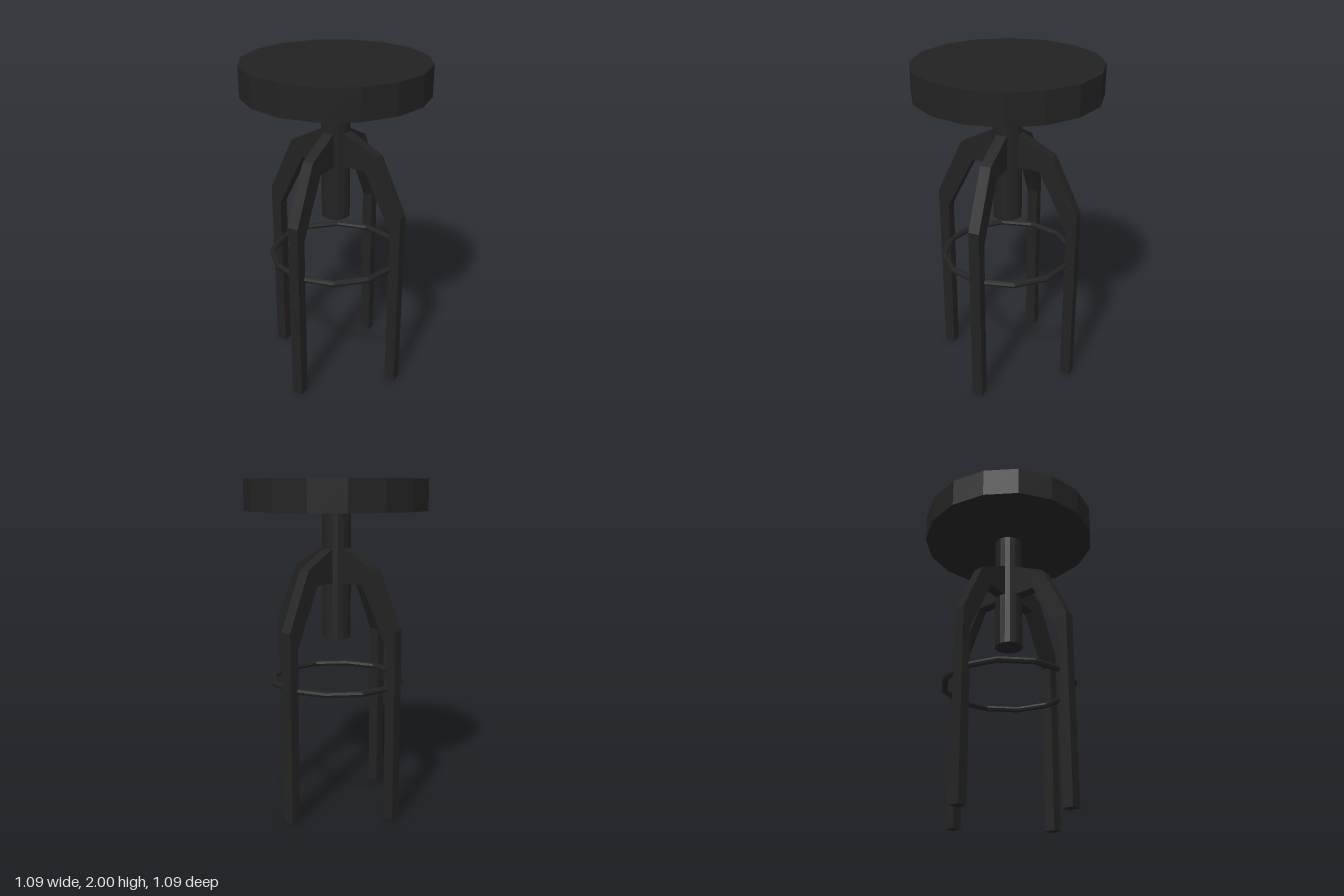
import * as THREE from 'three';

export function createModel() {
  const model = new THREE.Group();
  const black = new THREE.MeshStandardMaterial({ color: 0x222222, flatShading: true });
  black.name = 'matteBlack';

  const add = (name, geometry, y = 0) => {
    const mesh = new THREE.Mesh(geometry, black);
    mesh.name = name;
    mesh.position.y = y;
    model.add(mesh);
    return mesh;
  };

  // Sixteen-sided seat and the post beneath it
  add('seat', new THREE.CylinderGeometry(0.545, 0.545, 0.18, 16), 1.91);
  add('post', new THREE.CylinderGeometry(0.086, 0.086, 0.77, 16), 1.445);

  // Bent leg with a bracket that runs into the post
  const profile = new THREE.Shape([
    [0.39, 0], [0.455, 0], [0.455, 1.15], [0.293, 1.49], [0.07, 1.605],
    [0.07, 1.395], [0.215, 1.395], [0.39, 1.05],
  ].map(([x, y]) => new THREE.Vector2(x, y)));
  const legGeometry = new THREE.ExtrudeGeometry(profile, { depth: 0.066, bevelEnabled: false });
  legGeometry.translate(0, 0, -0.033);
  ['leftLeg', 'backLeg', 'rightLeg', 'frontLeg'].forEach((name, i) => {
    add(name, legGeometry).rotation.y = i * Math.PI / 2;
  });

  // Faceted foot ring
  const ring = new THREE.TorusGeometry(0.395, 0.019, 8, 12);
  ring.rotateX(Math.PI / 2);
  add('footRing', ring, 0.8);

  return model;
}
